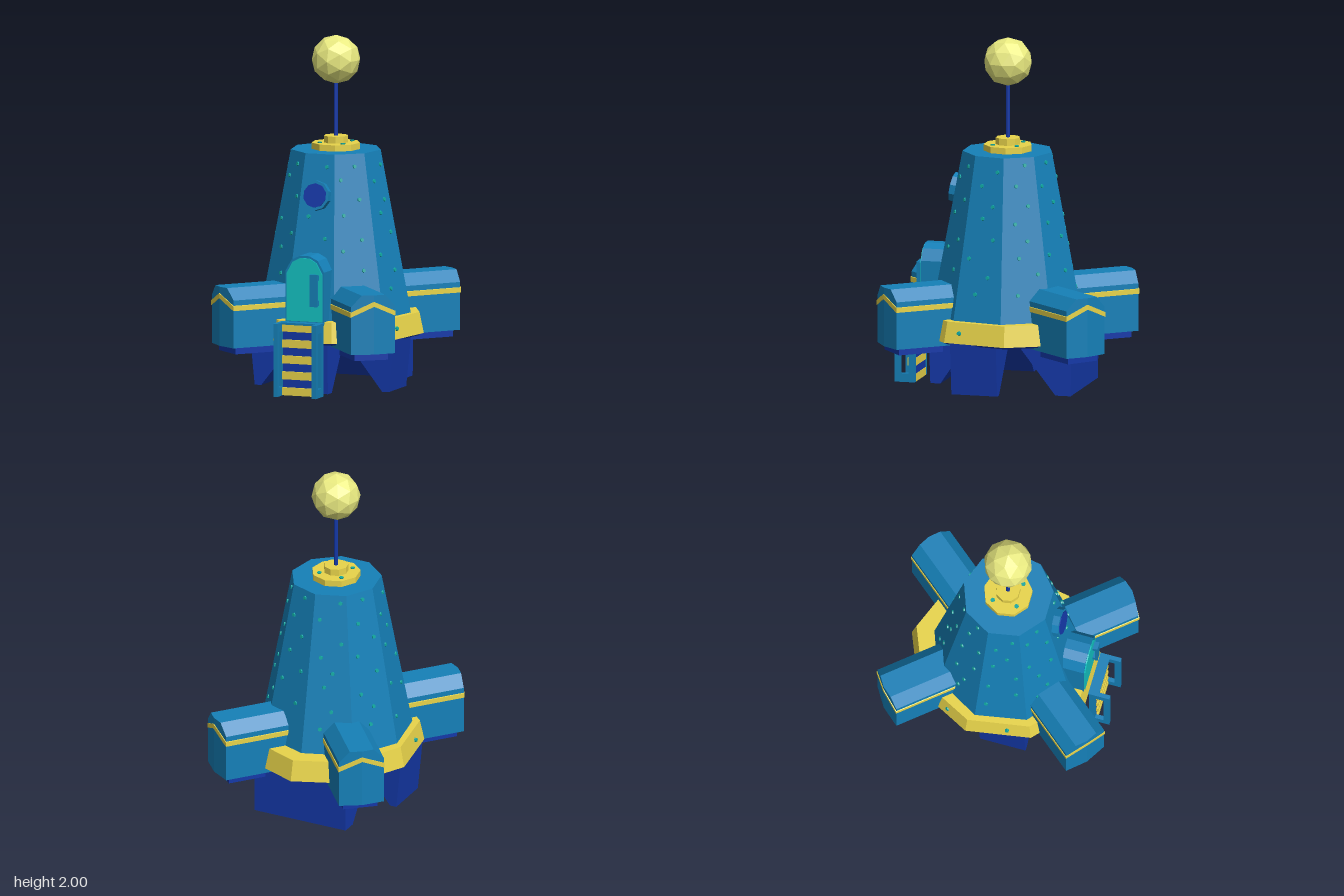
import * as THREE from 'three';

const mat = (color) => new THREE.MeshStandardMaterial({ color, flatShading: true });
const BLUE = mat(0x1580b8), DARK = mat(0x1438a8), GOLD = mat(0xe8d44a);
const TEAL = mat(0x14c4c4), STUD = mat(0x10a8a0), PALE = mat(0xe9ea80);
const DEG = Math.PI / 180;

function add(parent, name, geometry, material, x = 0, y = 0, z = 0) {
  const mesh = new THREE.Mesh(geometry, material);
  mesh.name = name;
  mesh.position.set(x, y, z);
  parent.add(mesh);
  return mesh;
}

const box = (w, h, d) => new THREE.BoxGeometry(w, h, d);
// nine-sided drum with a corner at the back and a flat at the front
const drum = (top, bottom, h) => new THREE.CylinderGeometry(top, bottom, h, 9, 1, false, Math.PI);

function polygon(points) {
  return new THREE.Shape(points.map(([x, y]) => new THREE.Vector2(x, y)));
}

function prism(shape, depth) {
  return new THREE.ExtrudeGeometry(shape, { depth, bevelEnabled: false });
}

// rectangular frame outline with a rectangular opening
function frame(x0, y0, x1, y1, t, u = t) {
  const s = polygon([[x0, y0], [x1, y0], [x1, y1], [x0, y1]]);
  s.holes.push(new THREE.Path([
    [x0 + t, y0 + u], [x0 + t, y1 - u], [x1 - t, y1 - u], [x1 - t, y0 + u],
  ].map(([x, y]) => new THREE.Vector2(x, y))));
  return s;
}

// two mirrored half prisms whose outer end swells into a shallow point
function pointedPrism(parent, name, half, width, length, material) {
  for (const side of [-1, 1]) {
    const g = prism(polygon(half.map(([x, y]) => [x * side, y])), length);
    const p = g.attributes.position;
    for (let i = 0; i < p.count; i++) {
      if (p.getZ(i) > length / 2) p.setZ(i, length + 0.02 * (1 - Math.abs(p.getX(i)) / width));
    }
    add(parent, name, g, material);
  }
}

function makePod(angle) {
  const pod = new THREE.Group();
  pod.name = 'pod';
  const W = 0.131, inner = 0.36, L = 0.744 - inner;
  pointedPrism(pod, 'podHousing', [[0, 0.27], [W, 0.27], [W, 0.545], [0.07, 0.61], [0, 0.61]], W, L, BLUE);
  pointedPrism(pod, 'podBand', [[0, 0.545], [W + 0.004, 0.485], [W + 0.004, 0.513], [0, 0.573]], W + 0.004, L + 0.004, GOLD);
  // open thruster below the housing
  const rim = add(pod, 'thrusterRim', prism(frame(-0.1, 0.08, 0.1, L - 0.03, 0.03), 0.045), DARK, 0, 0.275, 0);
  rim.rotation.x = Math.PI / 2;
  add(pod, 'thrusterCore', box(0.15, 0.02, L - 0.15), DARK, 0, 0.258, (L + 0.05) / 2);
  const s = Math.sin(angle), c = Math.cos(angle), shift = -0.024 * Math.sign(s * c);
  pod.rotation.y = angle;
  pod.position.set(s * inner + c * shift, 0, c * inner - s * shift);
  return pod;
}

function makeLeg(name, angle, [outer, foot, heel, root], width, z = 0) {
  const g = prism(polygon([[root, 0.3], [root, 0.28], [heel, 0], [foot, 0], [outer, 0.3]]), width);
  g.translate(0, 0, -width / 2);
  const leg = new THREE.Mesh(g, DARK);
  leg.name = name;
  leg.rotation.y = angle;
  leg.position.z = z;
  return leg;
}

function makeDoor() {
  const door = new THREE.Group();
  door.name = 'door';
  const arch = (w, base, top) => polygon([
    [-w, base], [w, base], [w, top - 0.09], [w * 0.68, top - 0.025], [w * 0.25, top],
    [-w * 0.25, top], [-w * 0.68, top - 0.025], [-w, top - 0.09]]);
  add(door, 'doorHousing', prism(arch(0.118, 0.4, 0.795), 0.3), BLUE, 0, 0, 0.18);
  add(door, 'doorPanel', prism(arch(0.108, 0.42, 0.783), 0.01), TEAL, 0, 0, 0.477);
  add(door, 'doorHandle', box(0.046, 0.185, 0.015), BLUE, 0.068, 0.602, 0.508);
  for (const y of [0.53, 0.675]) add(door, 'handleMount', box(0.046, 0.03, 0.03), BLUE, 0.068, y, 0.49);
  return door;
}

function makeLadder() {
  const ladder = new THREE.Group();
  ladder.name = 'ladder';
  for (const x of [-0.13, 0.105]) {
    const rail = add(ladder, 'ladderRail', prism(frame(-0.635, 0, -0.515, 0.42, 0.035, 0.05), 0.025), BLUE, x);
    rail.rotation.y = Math.PI / 2;
  }
  add(ladder, 'ladderBack', box(0.21, 0.41, 0.035), DARK, 0, 0.205, 0.533);
  add(ladder, 'ladderCap', box(0.26, 0.012, 0.06), BLUE, 0, 0.414, 0.54);
  for (let i = 0; i < 5; i++) add(ladder, 'ladderStep', box(0.21, 0.045, 0.05), GOLD, 0, 0.024 + i * 0.0915, 0.538);
  return ladder;
}

function makePorthole() {
  const window = new THREE.Group();
  window.name = 'porthole';
  const disc = (r, h) => new THREE.CylinderGeometry(r, r, h, 10).rotateX(Math.PI / 2);
  add(window, 'portholeFrame', disc(0.086, 0.08), BLUE);
  add(window, 'portholeGlass', disc(0.07, 0.01), DARK, 0, 0, 0.039);
  window.position.set(0, 1.115, 0.285);
  window.rotation.x = -10 * DEG;
  return window;
}

// rivets scattered over the sloping wall, collar and top disc
function makeRivets() {
  const rivets = new THREE.Group();
  rivets.name = 'rivets';
  let seed = 7;
  const rand = () => (seed = (seed * 16807) % 2147483647) / 2147483647;
  const geo = new THREE.CylinderGeometry(0.011, 0.014, 0.014, 6).rotateX(Math.PI / 2);
  for (let face = 0; face < 9; face++) {
    const a = face * 40 * DEG;
    const put = (r, y, t, tilt) => {
      const m = add(rivets, 'rivet', geo, STUD,
        Math.sin(a) * r + Math.cos(a) * t, y, Math.cos(a) * r - Math.sin(a) * t);
      m.rotation.set(-tilt, a, 0, 'YXZ');
    };
    for (let i = 0; i < 8; i++) {
      const y = 0.56 + i * 0.1 + rand() * 0.05;
      const r = 0.26 + (1.35 - y) * 0.188;
      const t = (i % 2 ? 1 : -1) * (0.03 + rand() * 0.2) * r;
      if (face === 0 && (y < 0.82 || Math.abs(y - 1.115) < 0.1)) continue;
      put(r * 0.94, y, t, 10 * DEG);
    }
    if (face) put(0.463 + 0.03 * Math.max(0, -Math.cos(a)), 0.36, (rand() - 0.5) * 0.2, 12 * DEG);
  }
  for (let i = 0; i < 4; i++) {
    const a = (45 + i * 90) * DEG;
    add(rivets, 'rivet', geo, STUD, Math.sin(a) * 0.1, 1.385, Math.cos(a) * 0.1).rotation.x = Math.PI / 2;
  }
  return rivets;
}

export function createModel() {
  const model = new THREE.Group();
  model.name = 'rocketHouse';

  // tapering tower with its collar and underside
  add(model, 'tower', drum(0.26, 0.442, 0.97), BLUE, 0, 0.865, 0);
  const collar = add(model, 'collar', drum(0.475, 0.5, 0.12), GOLD, 0, 0.36, -0.018);
  collar.scale.z = 1.1;
  const under = add(model, 'underside', drum(0.485, 0.47, 0.015), DARK, 0, 0.294, -0.018);
  under.scale.z = 1.1;

  // stepped cap, mast and faceted ball
  add(model, 'capLower', drum(0.14, 0.14, 0.036), GOLD, 0, 1.368, 0);
  add(model, 'capUpper', drum(0.07, 0.07, 0.04), GOLD, 0, 1.405, 0);
  add(model, 'mast', new THREE.CylinderGeometry(0.012, 0.012, 0.36, 8), DARK, 0, 1.58, 0);
  add(model, 'ball', new THREE.IcosahedronGeometry(0.14, 1), PALE, 0, 1.862, 0);

  // legs
  const side = [0.44, 0.41, 0.37, 0.15];
  model.add(makeLeg('leftLeg', 0, side, 0.27, 0.085));
  model.add(makeLeg('rightLeg', Math.PI, side, 0.27, 0.085));
  model.add(makeLeg('backLeg', Math.PI / 2, [0.455, 0.45, 0.36, 0.14], 0.58));
  model.add(makeLeg('frontLeg', -Math.PI / 2, [0.435, 0.425, 0.365, 0.18], 0.24));

  for (const deg of [40, -40, 140, -140]) model.add(makePod(deg * DEG));
  model.add(makeDoor(), makeLadder(), makePorthole(), makeRivets());
  return model;
}
